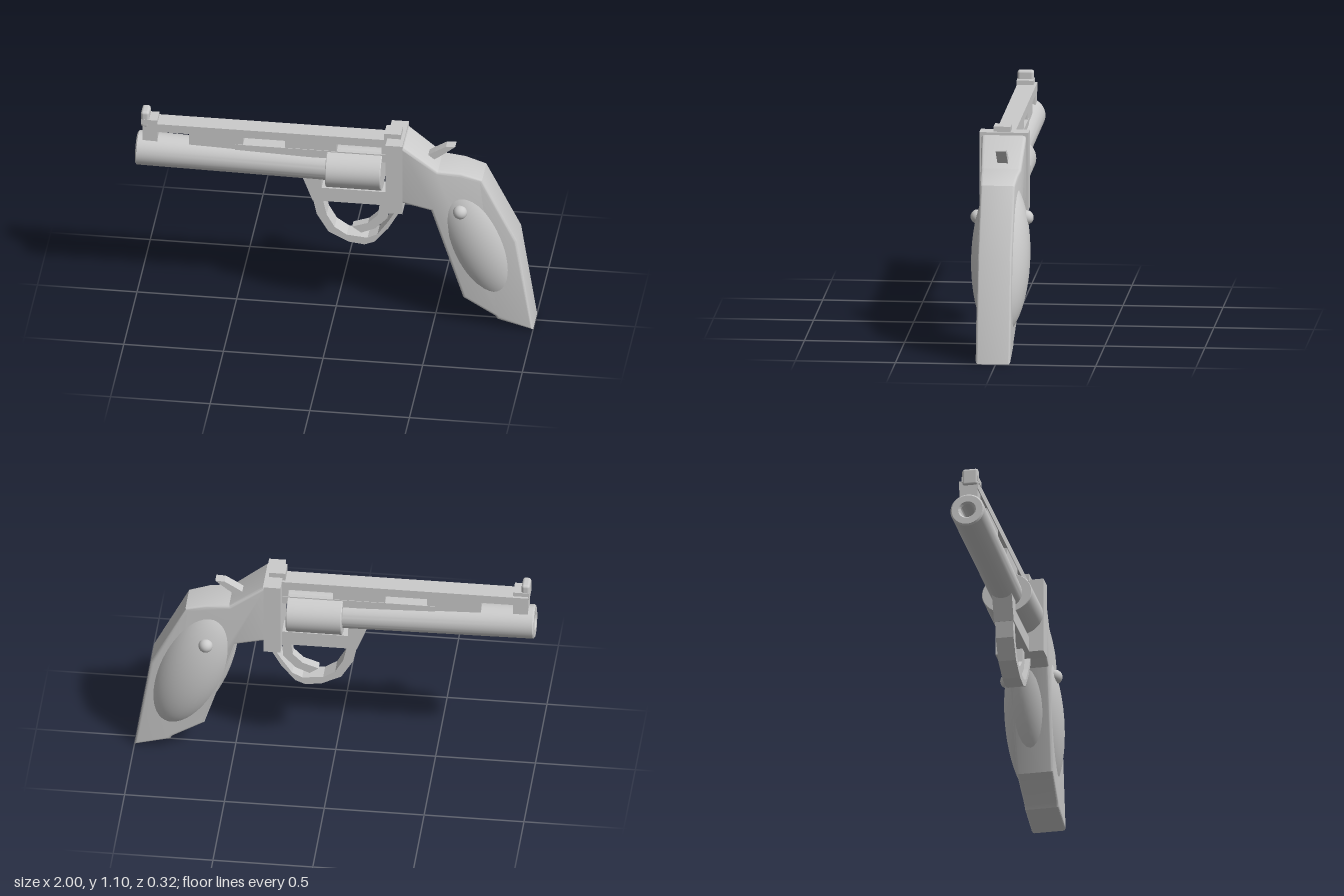
import * as THREE from 'three';
import { toCreasedNormals } from 'three/addons/utils/BufferGeometryUtils.js';
import { RoundedBoxGeometry } from 'three/addons/geometries/RoundedBoxGeometry.js';

const MID = 0.0175; // z of the metal parts' centre plane

export function createModel() {
  const model = new THREE.Group();
  const grey = new THREE.MeshStandardMaterial({ color: 0xcccccc });

  const add = (name, geometry, x = 0, y = 0, z = 0) => {
    const mesh = new THREE.Mesh(geometry, grey);
    mesh.name = name;
    mesh.position.set(x, y, z);
    model.add(mesh);
    return mesh;
  };

  // box given by its x range, y range and depth
  const box = (name, x0, x1, y0, y1, depth, z = MID) =>
    add(name, new THREE.BoxGeometry(x1 - x0, y1 - y0, depth), (x0 + x1) / 2, (y0 + y1) / 2, z);

  // side profile extruded to a depth centred on z
  const outline = (points) => new THREE.Shape(points.map(([x, y]) => new THREE.Vector2(x, y)));
  const plate = (name, points, depth, z = MID) => {
    const geometry = new THREE.ExtrudeGeometry(outline(points), { depth, bevelEnabled: false });
    geometry.translate(0, 0, -depth / 2);
    return add(name, geometry, 0, 0, z);
  };

  // turned part along +x from [distance, radius] pairs
  const turned = (name, profile, x, y) => {
    const geometry = new THREE.LatheGeometry(profile.map(([d, r]) => new THREE.Vector2(r, d)), 48);
    geometry.rotateZ(-Math.PI / 2);
    return add(name, toCreasedNormals(geometry, 0.6), x, y, MID);
  };

  // barrel with a bore, leaning slightly down to the rear
  const barrel = turned('barrel', [
    [0.2, 0], [0.2, 0.036], [0.012, 0.036], [0, 0.045], [0, 0.078], [0.007, 0.086], [1.0, 0.078], [1.0, 0],
  ].reverse().map(([d, r]) => [d, r]).reverse(), -0.998, 0.858);
  barrel.material = new THREE.MeshStandardMaterial({ color: 0xcccccc, side: THREE.DoubleSide });
  barrel.rotation.z = -0.024;

  // drum, a little wider than it is tall
  const drum = turned('drum', [[0, 0], [0, 0.124], [0.004, 0.127], [0.274, 0.127], [0.278, 0.124], [0.278, 0]], -0.039, 0.837);
  drum.scale.y = 0.85;

  // top rib on its posts
  box('topRib', -0.965, 0.27, 0.985, 1.03, 0.096);
  box('lowerRib', -0.5, 0.27, 0.9, 0.943, 0.096);
  for (const [x0, x1] of [[-0.965, -0.89], [-0.73, -0.46], [-0.25, 0.01], [0.235, 0.27]])
    box('ribPost', x0, x1, 0.9, 0.99, 0.09);

  // sights
  box('frontSightBase', -0.97, -0.89, 1.025, 1.052, 0.085, 0.025);
  add('frontSightBlade', new RoundedBoxGeometry(0.042, 0.09, 0.082, 3, 0.014), -0.952, 1.05, 0.026);
  box('rearSight', 0.25, 0.333, 1.028, 1.07, 0.085, 0.028);

  // frame
  box('recoilPlate', 0.265, 0.35, 0.65, 1.044, 0.245);
  plate('lowerFrame', [[-0.16, 0.78], [-0.11, 0.65], [0.3, 0.65], [0.3, 0.727], [-0.065, 0.727], [-0.065, 0.78]], 0.1);

  // trigger guard and trigger
  plate('triggerGuard', [
    [-0.11, 0.66], [-0.09, 0.57], [-0.03, 0.47], [0.07, 0.42], [0.15, 0.41], [0.2, 0.43], [0.27, 0.515],
    [0.318, 0.6], [0.318, 0.637], [0.27, 0.555], [0.215, 0.475], [0.165, 0.45], [0.06, 0.46], [0, 0.5],
    [-0.04, 0.57], [-0.06, 0.66],
  ], 0.09);
  plate('trigger', [
    [0.225, 0.66], [0.215, 0.575], [0.165, 0.525], [0.085, 0.497], [0.13, 0.465], [0.2, 0.495], [0.262, 0.56], [0.27, 0.66],
  ], 0.05);

  // hammer spur
  plate('hammer', [[0.4, 0.9], [0.5, 0.965], [0.555, 0.998], [0.602, 1.0], [0.54, 0.95], [0.45, 0.885]], 0.052, 0.01);

  // grip body, thinner towards the back
  const gripGeometry = new THREE.ExtrudeGeometry(outline([
    [0.335, 0.707], [0.49, 0.665], [0.65, 0.165], [0.81, 0.065], [0.822, 0.047], [1.0, 0.0],
    [0.92, 0.51], [0.745, 0.855], [0.64, 0.887], [0.525, 0.897], [0.355, 1.03], [0.335, 1.03],
  ]), { depth: 1.7, bevelThickness: 0.15, bevelSize: 0.016, bevelOffset: -0.016, bevelSegments: 4 });
  gripGeometry.translate(0, 0, -0.85);
  const p = gripGeometry.attributes.position;
  for (let i = 0; i < p.count; i++) {
    const t = THREE.MathUtils.clamp((p.getX(i) - 0.35) / 0.4, 0, 1);
    p.setZ(i, p.getZ(i) * THREE.MathUtils.lerp(0.112, 0.087, t) + THREE.MathUtils.lerp(0.0175, 0.0135, t));
  }
  add('grip', toCreasedNormals(gripGeometry, 0.5));

  // swollen grip panels, one ellipsoid showing on both sides
  const panel = add('gripPanels', new THREE.SphereGeometry(1, 48, 32), 0.712, 0.487, 0);
  panel.scale.set(0.18, 0.405, 0.147);
  panel.rotation.z = 0.373;

  // grip screws
  for (const side of [1, -1])
    add('gripScrew', new THREE.SphereGeometry(0.036, 24, 16), 0.638, 0.675, side * 0.122);

  return model;
}
